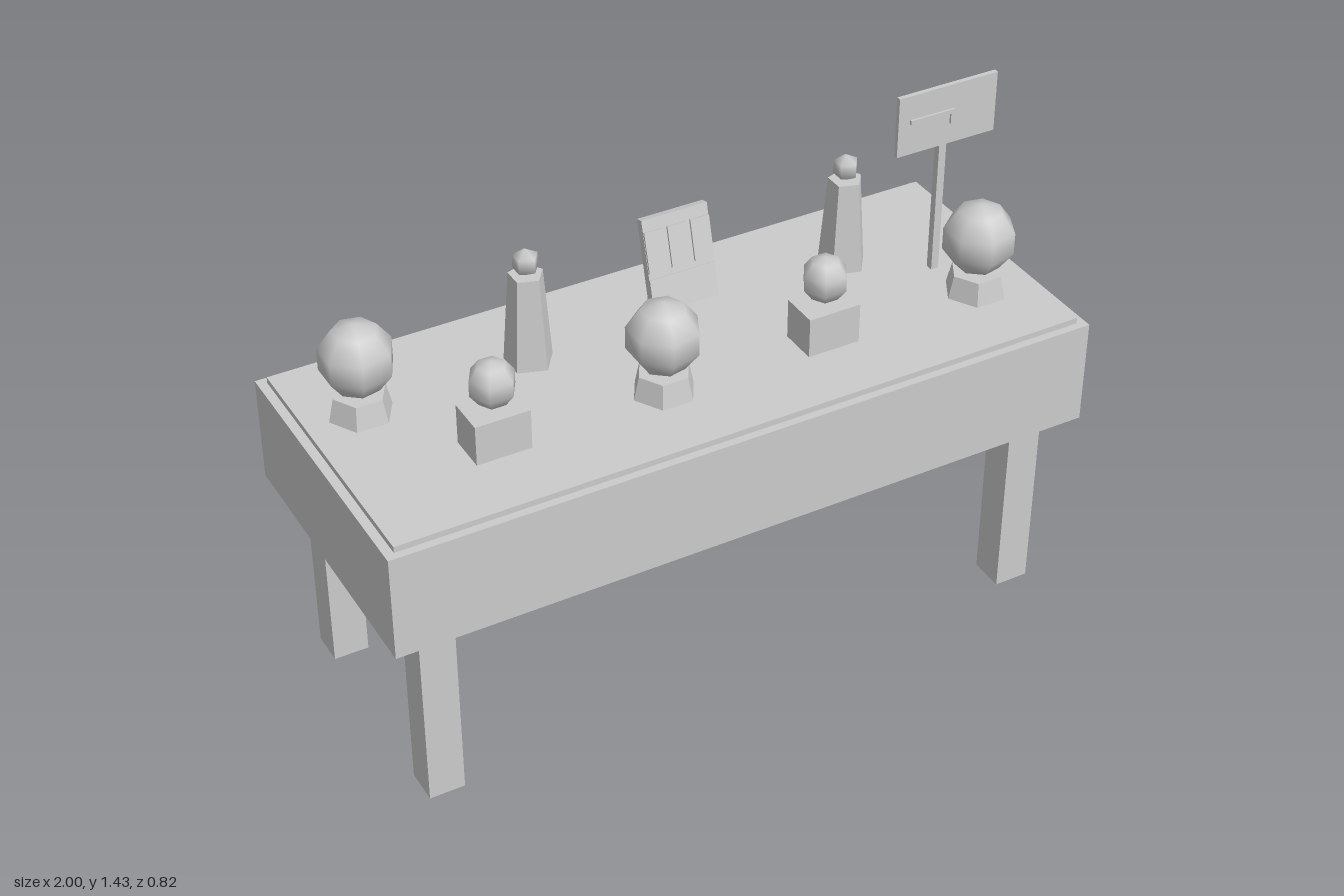
import * as THREE from 'three';

const smooth = new THREE.MeshStandardMaterial({ color: 0xcccccc });
const flat = new THREE.MeshStandardMaterial({ color: 0xcccccc, flatShading: true });

function add(parent, name, geometry, x, y, z, material = flat) {
  const mesh = new THREE.Mesh(geometry, material);
  mesh.name = name;
  mesh.position.set(x, y, z);
  parent.add(mesh);
  return mesh;
}

// Box given by its lower and upper limits on each axis
function box(parent, name, [x0, x1], [y0, y1], [z0, z1]) {
  return add(parent, name, new THREE.BoxGeometry(x1 - x0, y1 - y0, z1 - z0),
    (x0 + x1) / 2, (y0 + y1) / 2, (z0 + z1) / 2);
}

// Low-poly ball with a vertex column on +x
function ball(parent, name, r, sides, rings, y) {
  return add(parent, name, new THREE.SphereGeometry(r, sides, rings).rotateY(Math.PI), 0, y, 0, smooth);
}

// Tapered prism standing on its base, with a corner on +x
function prism(parent, name, rTop, rBottom, h, sides) {
  const geometry = new THREE.CylinderGeometry(rTop, rBottom, h, sides).rotateY(Math.PI / 2);
  return add(parent, name, geometry, 0, h / 2, 0);
}

function item(parent, name, x, z) {
  const group = new THREE.Group();
  group.name = name;
  group.position.set(x, 0.865, z);
  parent.add(group);
  return group;
}

export function createModel() {
  const model = new THREE.Group();
  model.name = 'stallTable';

  // Table
  box(model, 'tableBody', [-1, 1], [0.55, 0.85], [-0.412, 0.412]);
  box(model, 'tableCloth', [-0.975, 0.975], [0.85, 0.867], [-0.39, 0.39]);
  for (const sx of [-1, 1]) {
    for (const sz of [-1, 1]) {
      add(model, 'leg', new THREE.BoxGeometry(0.098, 0.55, 0.098), sx * 0.867, 0.275, sz * 0.304);
    }
  }

  // Large globes on six-sided bases
  for (const [x, z] of [[-0.827, -0.135], [-0.125, 0.15], [0.817, 0.15]]) {
    const globe = item(model, 'globe', x, z);
    prism(globe, 'globeBase', 0.071, 0.086, 0.067, 6);
    ball(globe, 'globeBall', 0.101, 7, 5, 0.168);
  }

  // Small balls on boxes
  for (const x of [-0.595, 0.345]) {
    const bust = item(model, 'boxedBall', x, 0.148);
    box(bust, 'pedestal', [-0.075, 0.075], [0, 0.115], [-0.054, 0.054]);
    ball(bust, 'smallBall', 0.065, 6, 5, 0.189);
  }

  // Figurines
  for (const x of [-0.36, 0.58]) {
    const figurine = item(model, 'figurine', x, -0.135);
    prism(figurine, 'figurineBody', 0.047, 0.067, 0.265, 5);
    ball(figurine, 'figurineHead', 0.039, 5, 3, 0.3);
  }

  // Leaning rack with three cards
  const rack = item(model, 'cardRack', 0.11, -0.165);
  rack.rotation.x = -0.25;
  box(rack, 'rackPanel', [-0.097, 0.097], [0.004, 0.265], [-0.012, 0.012]);
  for (const x of [-0.068, 0, 0.068]) {
    box(rack, 'card', [x - 0.028, x + 0.028], [0.118, 0.232], [0.012, 0.018]);
  }
  box(rack, 'rackFrontPlate', [-0.097, 0.097], [0.012, 0.1], [0.012, 0.016]);

  // Sign on a post
  const sign = new THREE.Group();
  sign.name = 'sign';
  model.add(sign);
  box(sign, 'signPost', [0.77, 0.792], [0.86, 1.345], [-0.01, 0.011]);
  box(sign, 'signBoard', [0.63, 0.93], [1.26, 1.432], [0.011, 0.024]);
  box(sign, 'markBar', [0.665, 0.8], [1.35, 1.362], [0.024, 0.03]);
  box(sign, 'markEnd', [0.788, 0.8], [1.32, 1.35], [0.024, 0.03]);

  return model;
}
